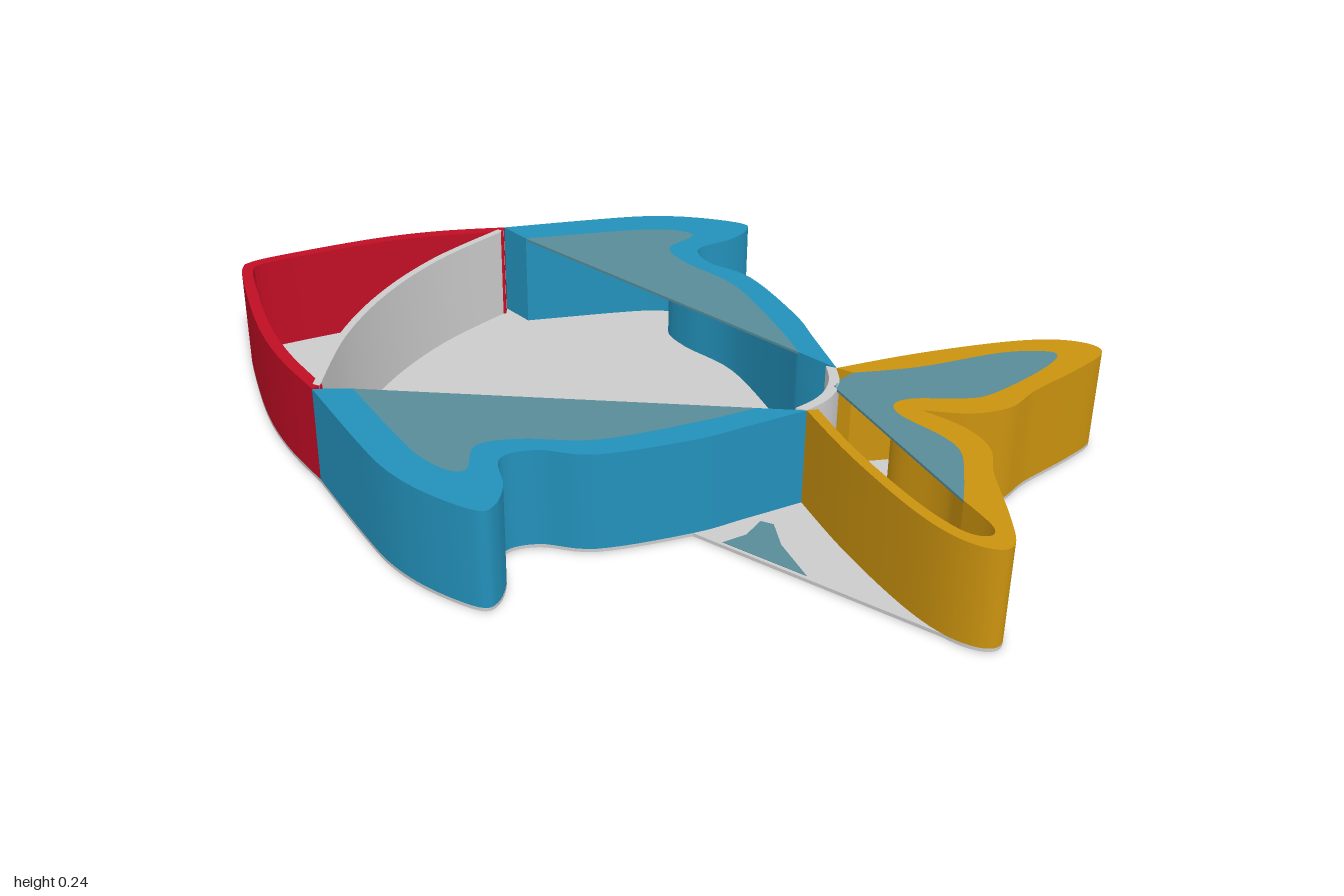
import * as THREE from 'three';
import { toCreasedNormals } from 'three/addons/utils/BufferGeometryUtils.js';

const H = 0.24, FLOOR = 0.008, STEPS = 6;

// Smooth curve through [x, z] points; every STEPS-th sample is a control point
const curve = (pts) =>
  new THREE.SplineCurve(pts.map(([x, z]) => new THREE.Vector2(x, z))).getPoints((pts.length - 1) * STEPS);
const flip = (pts) => pts.map((p) => new THREE.Vector2(p.x, -p.y));
const back = (pts) => [...pts].reverse();
const line = (pts) => pts.map(([x, z]) => new THREE.Vector2(x, z));

// Extrude an (x, z) outline upwards from y0 to y1
function slab(pts, y0, y1) {
  const shape = new THREE.Shape(pts.map((p) => new THREE.Vector2(p.x, -p.y)));
  const geo = new THREE.ExtrudeGeometry(shape, { depth: y1 - y0, bevelEnabled: false });
  geo.rotateX(-Math.PI / 2).translate(0, y0, 0);
  return toCreasedNormals(geo, 0.6);
}

export function createModel() {
  const group = new THREE.Group();
  const mat = (name, color) => Object.assign(new THREE.MeshStandardMaterial({ color }), { name });
  const red = mat('red', 0xc00d24);
  const blue = mat('blue', 0x2391bb);
  const gold = mat('gold', 0xcb930f);
  const grey = mat('light grey', 0xcccccc);
  const teal = mat('grey teal', 0x588c97);
  const add = (name, pts, y0, y1, material) => {
    const mesh = new THREE.Mesh(slab(pts, y0, y1), material);
    mesh.name = name;
    group.add(mesh);
  };

  // Outlines of one half (z < 0)
  const head = curve([[-1, 0], [-0.965, -0.06], [-0.8, -0.245], [-0.665, -0.36], [-0.52, -0.45]]);
  const headInner = curve([[-0.97, 0], [-0.94, -0.05], [-0.785, -0.222], [-0.655, -0.333], [-0.51, -0.425]]);
  const body = curve([
    [-0.52, -0.45], [-0.32, -0.595], [-0.21, -0.665], [-0.1, -0.705], [0.02, -0.72], [0.047, -0.69],
    [0.03, -0.62], [-0.022, -0.535], [0.03, -0.475], [0.15, -0.44], [0.31, -0.305], [0.39, -0.21], [0.48, -0.1],
  ]);
  const bodyInner = curve([
    [-0.44, -0.413], [-0.26, -0.54], [-0.17, -0.595], [-0.095, -0.615], [-0.065, -0.595], [-0.09, -0.51],
    [-0.02, -0.45], [0.13, -0.385], [0.29, -0.235], [0.38, -0.134],
  ]);
  const tail = curve([
    [0.48, -0.1], [0.62, -0.235], [0.78, -0.365], [0.885, -0.426], [0.965, -0.438], [0.997, -0.405],
    [0.965, -0.315], [0.9, -0.18], [0.87, -0.09], [0.8, -0.03], [0.7, 0],
  ]);
  // Inner edge of the tail wall: upper lobe, notch, upper side of the lower lobe
  const tailInner = curve([
    [0.52, -0.095], [0.645, -0.18], [0.79, -0.315], [0.885, -0.365], [0.91, -0.345], [0.885, -0.26],
    [0.82, -0.13], [0.77, -0.085], [0.67, -0.04], [0.64, 0], [0.67, 0.04], [0.77, 0.085], [0.82, 0.13],
    [0.85, 0.22], [0.87, 0.3],
  ]);
  // Open lower lobe, with a thin wall on its outer side
  const lobeInner = curve([
    [0.87, 0.3], [0.945, 0.365], [0.945, 0.4], [0.89, 0.4], [0.78, 0.335], [0.62, 0.205], [0.5, 0.085],
  ]);

  // Floor, bridging the gaps between body and tail
  const half = [...head.slice(0, -1), ...body.slice(0, 10 * STEPS + 1), ...tail.slice(3 * STEPS)];
  add('floor', [...half, ...back(flip(half)).slice(1, -1)], 0, FLOOR, grey);

  // Head wall
  add('headWall', [...back(flip(head)), ...head.slice(1), ...back(headInner), ...flip(headInner).slice(1)],
    FLOOR, H, red);

  // Body side walls with fins, and the roof sheets over their hollows
  for (const [side, f] of [['right', (p) => p], ['left', flip]]) {
    add(side + 'BodyWall', f([...body, ...back(bodyInner)]), FLOOR, H, blue);
    add(side + 'FinRoof', f(bodyInner), H - 0.006, H, teal);
  }

  // Tail wall and the roof over most of the tail
  add('tailWall', [...tail, ...back(flip(tail)).slice(1), ...back(lobeInner), ...back(tailInner).slice(1)],
    FLOOR, H, gold);
  add('tailRoof', [...tailInner, ...line([[0.5, -0.02], [0.505, -0.06]])], H - 0.006, H, teal);

  // Curved partitions behind the head and at the tail root
  const arc = (name, x0, x1, z, t) => {
    const a = curve([[x0, -z], [x0 + (x1 - x0) * 0.75, -z / 2], [x1, 0], [x0 + (x1 - x0) * 0.75, z / 2], [x0, z]]);
    const b = a.map((p) => new THREE.Vector2(p.x + t, p.y));
    add(name, [...a, ...back(b)], FLOOR, H, grey);
  };
  arc('headPartition', -0.53, -0.62, 0.432, 0.018);
  arc('tailPartition', 0.455, 0.487, 0.1, 0.024);

  // Tinted patches in the floor bridges
  add('rightFloorPatch', line([[0.36, -0.312], [0.43, -0.25], [0.5, -0.228], [0.58, -0.28], [0.62, -0.34], [0.7, -0.383]]),
    -0.0005, FLOOR + 0.001, teal);
  add('leftFloorPatch', line([[0.38, 0.312], [0.415, 0.265], [0.425, 0.205], [0.455, 0.205], [0.495, 0.27], [0.58, 0.353]]),
    -0.0005, FLOOR + 0.001, teal);

  return group;
}
